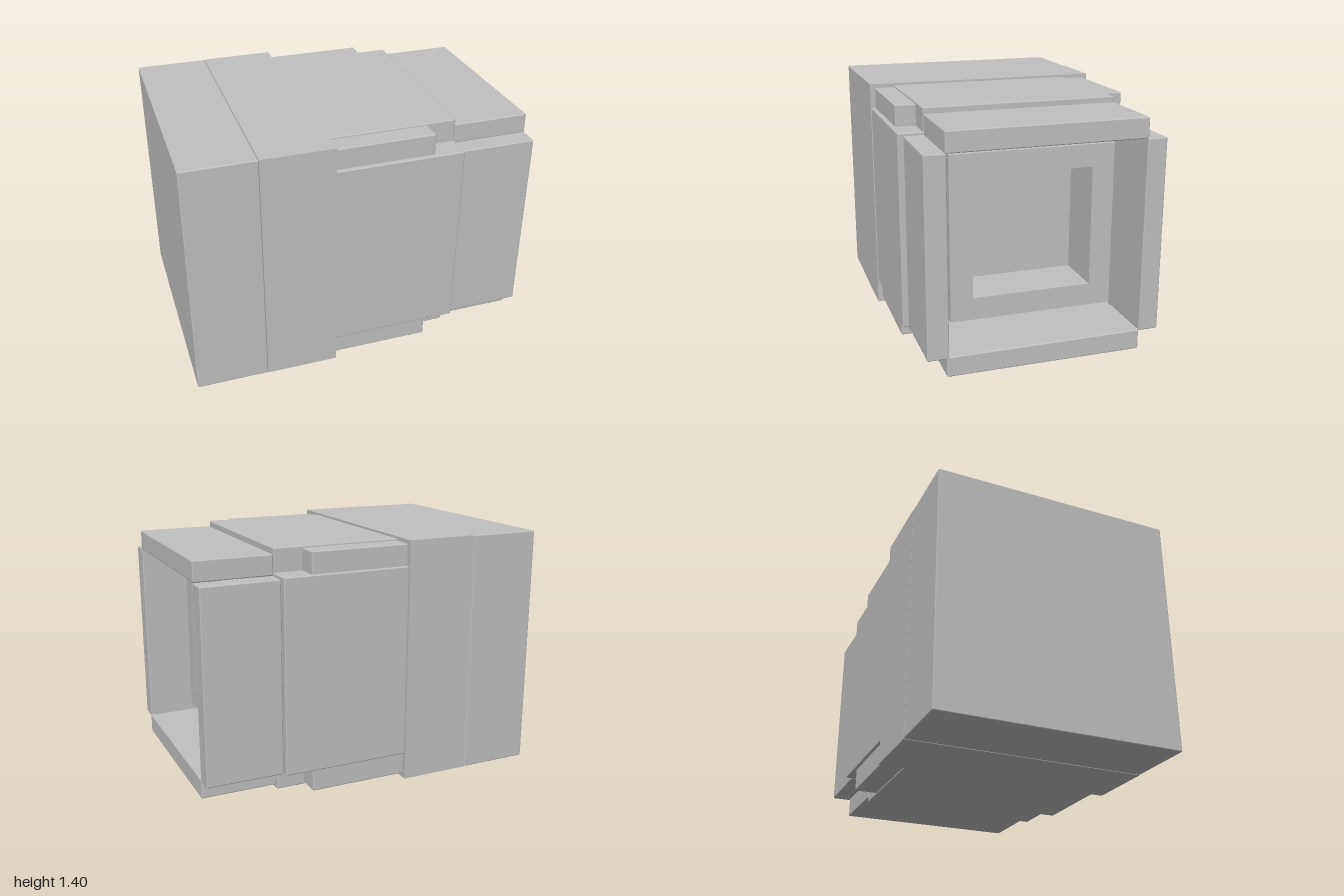
import * as THREE from 'three';
import { RoundedBoxGeometry } from 'three/addons/geometries/RoundedBoxGeometry.js';

export function createModel() {
  const model = new THREE.Group();
  const grey = new THREE.MeshStandardMaterial({ color: 0xc0c0c0 });
  grey.name = 'light grey';
  const midY = 0.7;

  const add = (name, geometry) => {
    const mesh = new THREE.Mesh(geometry, grey);
    mesh.name = name;
    model.add(mesh);
    return mesh;
  };

  // Box given by its limits on each axis, with optional softened edges
  const block = (name, [x0, x1], [y0, y1], [z0, z1], radius = 0.007) => {
    const size = [x1 - x0, y1 - y0, z1 - z0];
    const geometry = radius
      ? new RoundedBoxGeometry(...size, 2, radius)
      : new THREE.BoxGeometry(...size);
    add(name, geometry).position.set((x0 + x1) / 2, (y0 + y1) / 2, (z0 + z1) / 2);
  };

  // Square ring around the x axis
  const ring = (name, x0, x1, outer, inner) => {
    const square = (Type, h) => {
      const s = new Type();
      s.moveTo(-h, -h);
      s.lineTo(h, -h);
      s.lineTo(h, h);
      s.lineTo(-h, h);
      s.closePath();
      return s;
    };
    const shape = square(THREE.Shape, outer);
    shape.holes.push(square(THREE.Path, inner));
    const geometry = new THREE.ExtrudeGeometry(shape, { depth: x1 - x0, bevelEnabled: false });
    geometry.rotateY(Math.PI / 2);
    add(name, geometry).position.set(x0, midY, 0);
  };

  // Solid rear half
  block('endBlock', [-1, -0.588], [0, 1.4], [-0.7, 0.7]);
  block('collarBlock', [-0.588, -0.175], [0, 1.4], [-0.7, 0.7], 0);

  // Core with the stepped square opening
  block('core', [-0.2, 0.45], [0.15, 1.25], [-0.55, 0.55], 0);
  ring('coreMouth', 0.45, 0.56, 0.55, 0.343);
  ring('innerFrame', 0.56, 0.75, 0.47, 0.343);

  // Cladding plates around the core
  const plateX = [-0.18, 0.56];
  block('topPlate', plateX, [1.24, 1.388], [-0.545, 0.555]);
  block('bottomPlate', plateX, [0.012, 0.155], [-0.54, 0.565]);
  block('frontPlate', plateX, [0.148, 1.257], [0.54, 0.695]);
  block('backPlate', plateX, [0.152, 1.255], [-0.687, -0.54]);

  // Short filler bars in the four corner notches
  for (const z of [[0.53, 0.67], [-0.67, -0.53]]) {
    block('upperCornerBar', [-0.18, 0.395], [1.24, 1.377], z);
    block('lowerCornerBar', [-0.18, 0.395], [0.023, 0.16], z);
  }

  // Four flaps around the open end
  const flapX = [0.562, 1];
  block('topFlap', flapX, [1.24, 1.355], [-0.545, 0.553]);
  block('bottomFlap', flapX, [0.042, 0.155], [-0.54, 0.558]);
  block('frontFlap', flapX, [0.145, 1.243], [0.545, 0.663]);
  block('backFlap', flapX, [0.15, 1.24], [-0.652, -0.54]);

  return model;
}
